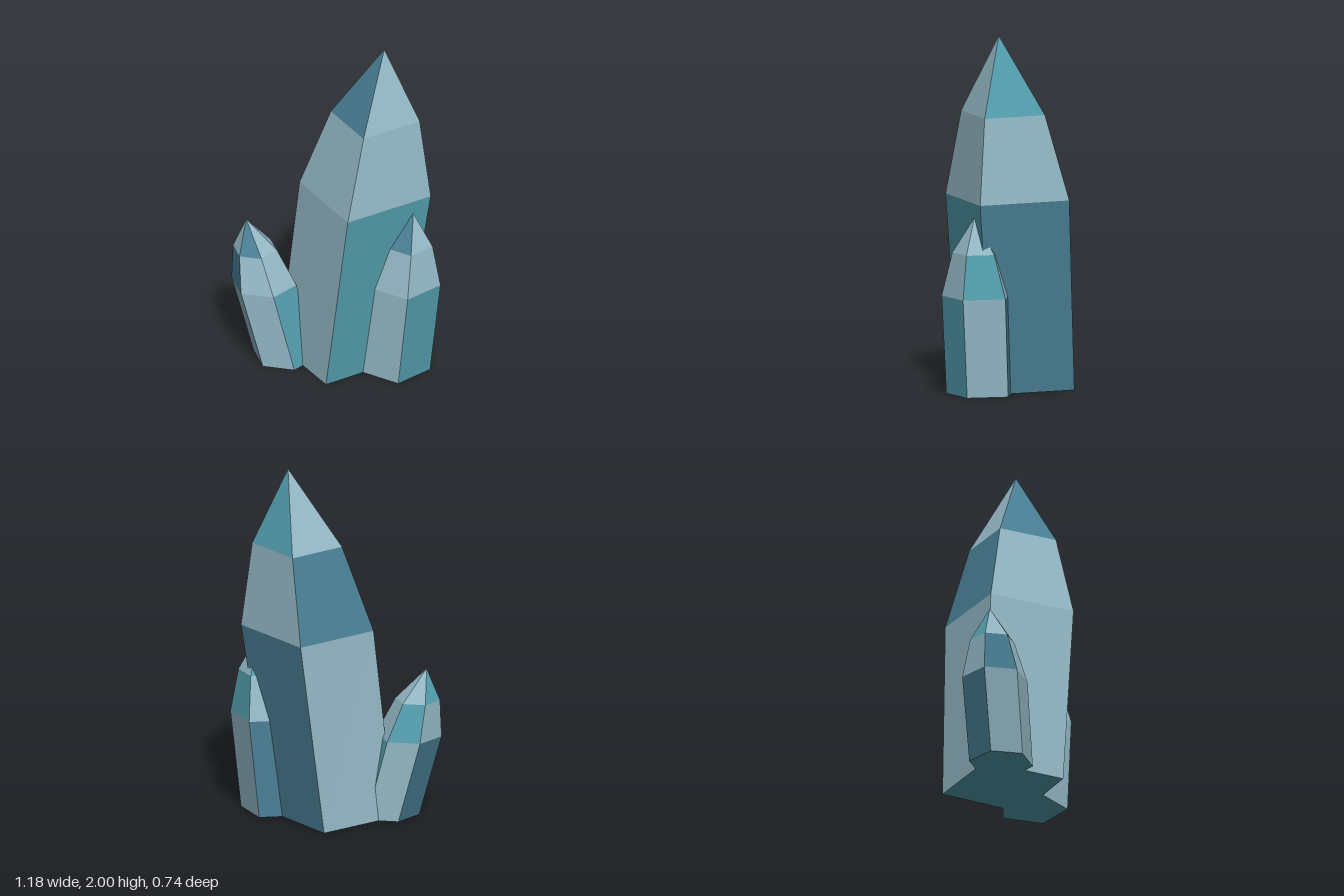
import * as THREE from 'three';

const mat = (name, color) => Object.assign(new THREE.MeshStandardMaterial({ color }), { name });

// Faceted crystal: rings run from the base up, the tip closes it.
// tones[level][side] picks the material of each facet; sides go from +x towards +z.
function crystal(name, sides, turn, rings, tip, tones, materials) {
  const apex = new THREE.Vector3(...tip);
  const corner = (ring, k) => {
    const a = turn + (k % sides) * 2 * Math.PI / sides;
    // ridge shifts the front and back corners sideways
    const shift = (ring.ridge || 0) * Math.abs(Math.sin(a));
    return new THREE.Vector3(ring.x + ring.r * Math.cos(a) + shift, ring.y, ring.z + ring.r * Math.sin(a));
  };
  const buckets = materials.map(() => []);
  const tri = (tone, ...pts) => pts.forEach(p => buckets[tone].push(p.x, p.y, p.z));

  const base = new THREE.Vector3(rings[0].x, 0, rings[0].z);
  for (let k = 0; k < sides; k++) {
    tri(1, base, corner(rings[0], k), corner(rings[0], k + 1));
    rings.forEach((ring, level) => {
      const a = corner(ring, k), b = corner(ring, k + 1);
      const tone = tones[level][k];
      const next = rings[level + 1];
      if (!next) return tri(tone, a, apex, b);
      const c = corner(next, k), d = corner(next, k + 1);
      tri(tone, a, c, b);
      tri(tone, b, c, d);
    });
  }

  const geometry = new THREE.BufferGeometry();
  geometry.setAttribute('position', new THREE.Float32BufferAttribute(buckets.flat(), 3));
  let start = 0;
  buckets.forEach((list, i) => {
    geometry.addGroup(start, list.length / 3, i);
    start += list.length / 3;
  });
  geometry.computeVertexNormals(); // unshared corners keep the facets flat
  const mesh = new THREE.Mesh(geometry, materials);
  mesh.name = name;
  return mesh;
}

export function createModel() {
  const group = new THREE.Group();
  group.name = 'crystalCluster';
  const materials = [mat('paleBlue', 0x95bac7), mat('teal', 0x55a0b0), mat('deepBlue', 0x4a8096)];
  const deg = Math.PI / 180;

  // Tall four-sided crystal
  group.add(crystal('mainCrystal', 4, 0.5 * deg, [
    { y: 0, x: 0.01, z: 0, r: 0.35, ridge: -0.01 },
    { y: 1.08, x: 0.148, z: 0, r: 0.372, ridge: -0.02 },
    { y: 1.56, x: 0.205, z: 0, r: 0.252, ridge: -0.013 },
  ], [0.256, 2, 0], [
    [1, 0, 0, 2],
    [0, 0, 2, 0],
    [0, 2, 0, 1],
  ], materials));

  // Five-sided crystal on the +x side
  group.add(crystal('leftCrystal', 5, 2 * deg, [
    { y: 0, x: 0.333, z: 0.07, r: 0.198 },
    { y: 0.555, x: 0.386, z: 0.07, r: 0.204 },
    { y: 0.8, x: 0.411, z: 0.071, r: 0.134 },
  ], [0.435, 1, 0.073], [
    [1, 0, 0, 2, 0],
    [0, 0, 0, 0, 1],
    [0, 2, 0, 1, 0],
  ], materials));

  // Six-sided crystal on the -x side
  group.add(crystal('rightCrystal', 6, 2 * deg, [
    { y: 0, x: -0.29, z: 0.075, r: 0.18 },
    { y: 0.46, x: -0.41, z: 0.075, r: 0.185 },
    { y: 0.67, x: -0.46, z: 0.075, r: 0.126 },
  ], [-0.51, 0.85, 0.075], [
    [1, 0, 0, 2, 0, 1],
    [0, 0, 2, 0, 1, 0],
    [0, 2, 0, 1, 0, 0],
  ], materials));

  return group;
}
